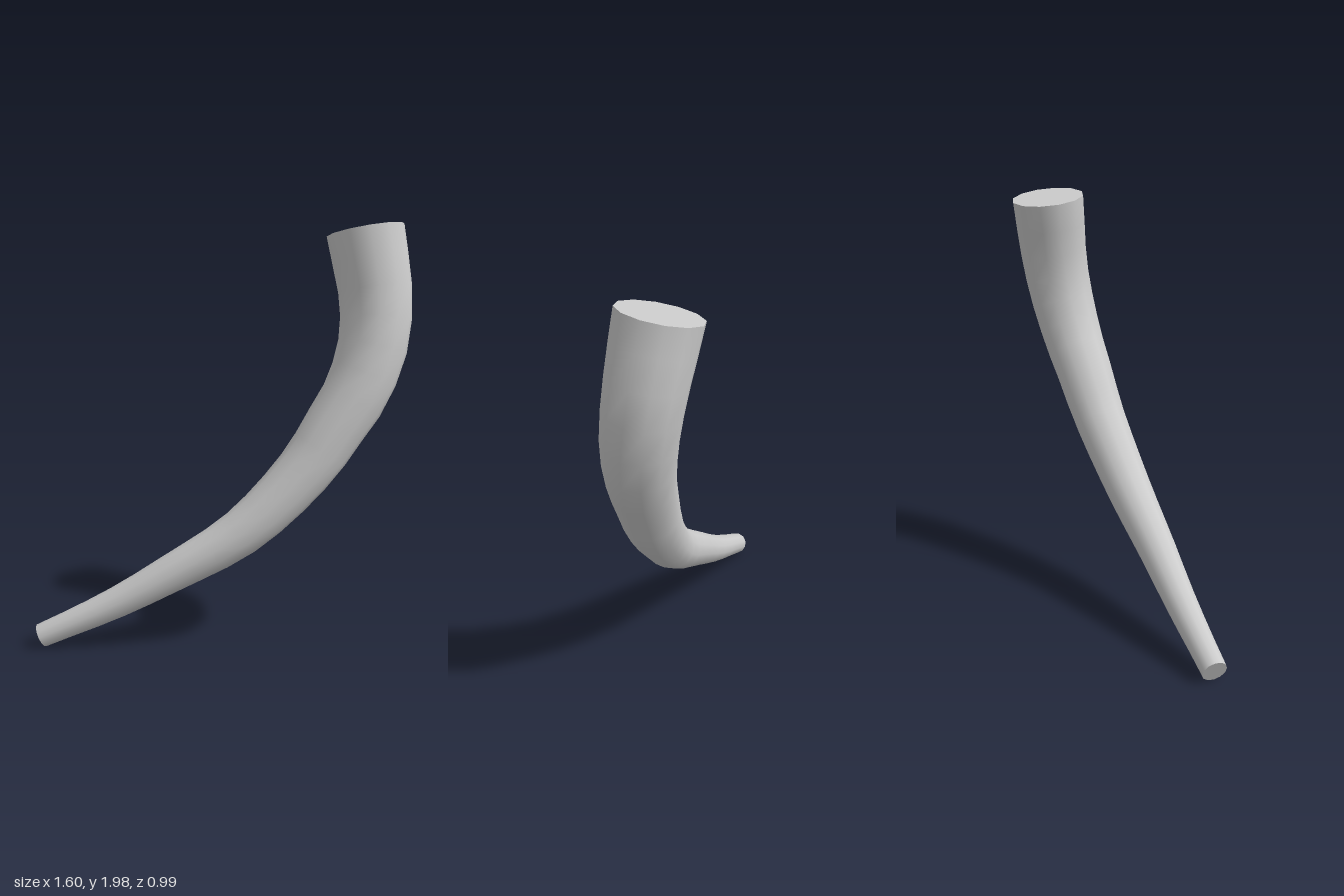
import * as THREE from 'three';

const SIDES = 12, STEPS = 20;

// Centreline points with the radius at each: x, y, z, r
const stations = [
  [-0.775, 0.055, 0.442, 0.057],
  [-0.45, 0.215, 0.32, 0.073],
  [-0.19, 0.37, 0.22, 0.09],
  [0.12, 0.575, 0.087, 0.112],
  [0.38, 0.87, -0.06, 0.132],
  [0.49, 1.06, -0.13, 0.143],
  [0.575, 1.22, -0.19, 0.152],
  [0.63, 1.43, -0.25, 0.162],
  [0.63, 1.63, -0.288, 0.169],
  [0.565, 1.95, -0.315, 0.181],
];

// Flat cap closing one ring of the tube
function makeCap(tube, ring, flip) {
  const pos = tube.attributes.position, points = [], index = [];
  for (let j = 0; j < SIDES; j++) {
    points.push(new THREE.Vector3().fromBufferAttribute(pos, ring * (SIDES + 1) + j));
    if (j > 1) index.push(0, ...(flip ? [j, j - 1] : [j - 1, j]));
  }
  const cap = new THREE.BufferGeometry().setFromPoints(points);
  cap.setIndex(index);
  cap.computeVertexNormals();
  return cap;
}

export function createModel() {
  const group = new THREE.Group();
  group.name = 'horn';
  const material = new THREE.MeshStandardMaterial({ color: 0xcccccc });
  const add = (name, geometry) => {
    const mesh = new THREE.Mesh(geometry, material);
    mesh.name = name;
    group.add(mesh);
  };

  // Curved body: a tube whose rings are scaled to the tapering radius
  const path = new THREE.CatmullRomCurve3(stations.map(([x, y, z]) => new THREE.Vector3(x, y, z)));
  const radii = new THREE.SplineCurve(stations.map((s, i) => new THREE.Vector2(i, s[3])));
  const body = new THREE.TubeGeometry(path, STEPS, 1, SIDES, false);
  const pos = body.attributes.position, v = new THREE.Vector3();
  for (let i = 0; i <= STEPS; i++) {
    const centre = path.getPointAt(i / STEPS);
    const radius = radii.getPoint(path.getUtoTmapping(i / STEPS)).y;
    for (let j = 0; j <= SIDES; j++) {
      const k = i * (SIDES + 1) + j;
      v.fromBufferAttribute(pos, k).sub(centre).multiplyScalar(radius).add(centre);
      pos.setXYZ(k, v.x, v.y, v.z);
    }
  }
  add('hornBody', body);

  // Cut ends
  add('tipCap', makeCap(body, 0, false));
  add('baseCap', makeCap(body, STEPS, true));
  return group;
}
